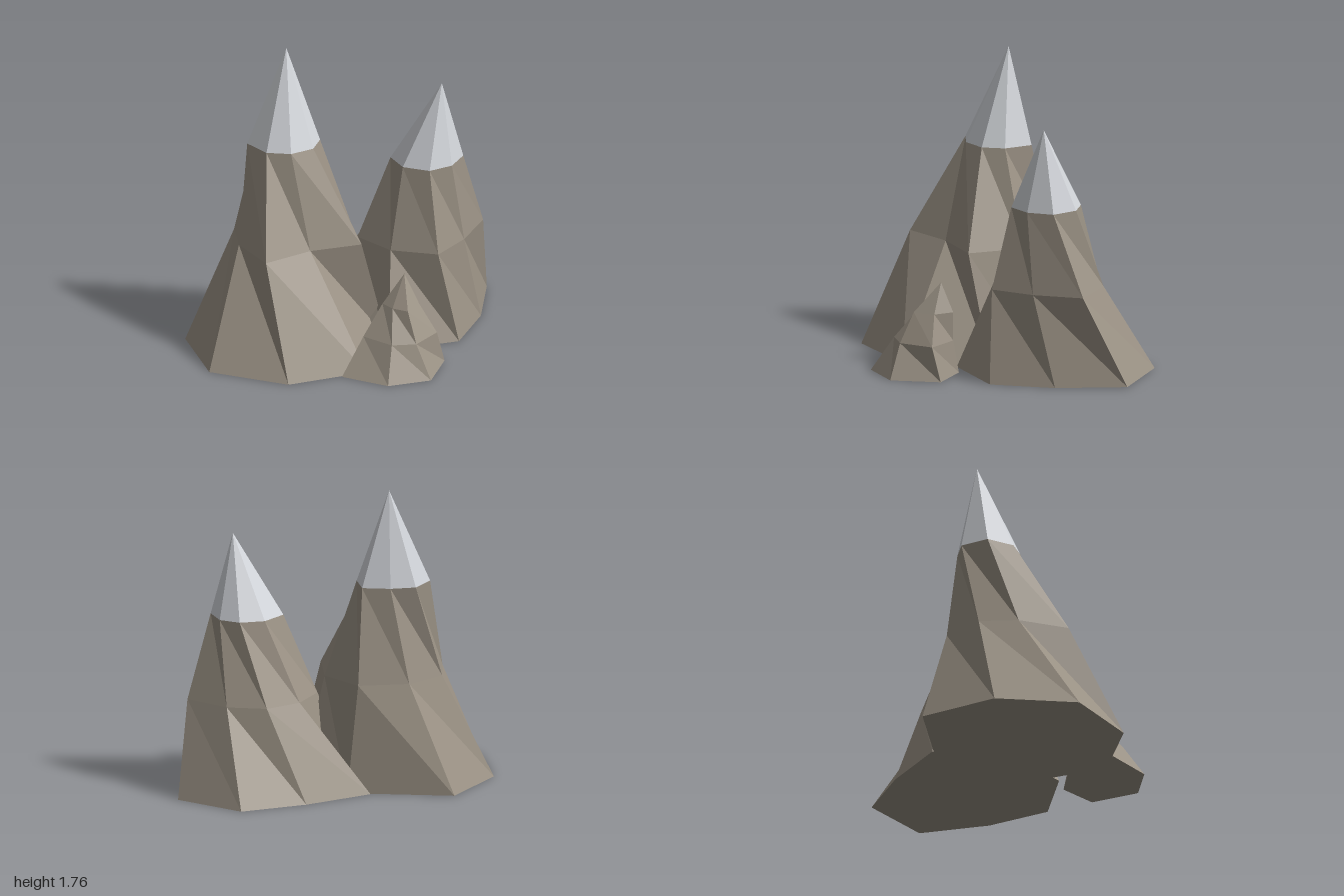
import * as THREE from 'three';

const rock = new THREE.MeshStandardMaterial({ color: 0x9b9285 });
rock.name = 'rock';
const snow = new THREE.MeshStandardMaterial({ color: 0xd2d5da });
snow.name = 'snow';

// Rings are { y, pts: [[x, z], ...] }, counterclockwise seen from above, lowest first.
function loft(name, rings, apex, material, closeBase) {
  const pos = [];
  const tri = (...corners) => corners.forEach((p) => pos.push(...p));
  const at = (ring, i) => {
    const [x, z] = ring.pts[i % ring.pts.length];
    return [x, ring.y, z];
  };
  const n = rings[0].pts.length;
  for (let i = 0; i < n; i++) {
    // Walls between neighbouring rings
    for (let r = 0; r < rings.length - 1; r++) {
      const a = at(rings[r], i), b = at(rings[r], i + 1);
      const c = at(rings[r + 1], i), d = at(rings[r + 1], i + 1);
      tri(a, b, c);
      tri(b, d, c);
    }
    // Pointed tip
    if (apex) tri(at(rings[rings.length - 1], i), at(rings[rings.length - 1], i + 1), apex);
    // Flat underside
    if (closeBase && i > 0 && i < n - 1) tri(at(rings[0], 0), at(rings[0], i + 1), at(rings[0], i));
  }
  const geometry = new THREE.BufferGeometry();
  geometry.setAttribute('position', new THREE.Float32BufferAttribute(pos, 3));
  geometry.computeVertexNormals(); // unshared corners give flat facets
  const mesh = new THREE.Mesh(geometry, material);
  mesh.name = name;
  return mesh;
}

// Rocky slopes with a snow cap sitting on the top ring
function snowyPeak(name, rings, apex) {
  const group = new THREE.Group();
  group.name = name;
  group.add(loft('slopes', rings, null, rock, true));
  group.add(loft('snowCap', [rings[rings.length - 1]], apex, snow, false));
  return group;
}

export function createModel() {
  const model = new THREE.Group();
  model.name = 'mountains';

  model.add(snowyPeak('tallPeak', [
    { y: 0, pts: [[-1, 0.06], [-0.67, 0.43], [-0.18, 0.475], [0.15, 0.08],
      [0.22, -0.22], [0.02, -0.5], [-0.55, -0.76], [-0.91, -0.43]] },
    { y: 0.64, pts: [[-0.67, -0.21], [-0.65, 0.1], [-0.34, 0.06], [-0.03, 0.11],
      [0.06, -0.21], [-0.05, -0.49], [-0.345, -0.55], [-0.59, -0.43]] },
    { y: 1.2, pts: [[-0.54, -0.36], [-0.5, -0.19], [-0.38, -0.11], [-0.23, -0.12],
      [-0.135, -0.22], [-0.11, -0.39], [-0.26, -0.46], [-0.41, -0.48]] },
  ], [-0.29, 1.765, -0.35]));

  model.add(snowyPeak('shortPeak', [
    { y: 0, pts: [[-0.15, -0.1], [0.07, 0.26], [0.5, 0.32], [0.78, 0.05],
      [1, -0.31], [0.74, -0.68], [0.33, -0.66], [-0.1, -0.565]] },
    { y: 0.54, pts: [[0.1, -0.2], [0.185, 0.06], [0.405, 0.24], [0.64, 0.11],
      [0.865, -0.09], [0.71, -0.34], [0.5, -0.45], [0.275, -0.385]] },
    { y: 1.02, pts: [[0.3, -0.17], [0.3, -0.01], [0.415, 0.11], [0.565, 0.1],
      [0.69, 0], [0.69, -0.16], [0.6, -0.255], [0.45, -0.27]] },
  ], [0.56, 1.5, -0.02]));

  // Bare foothill in front
  model.add(loft('foothill', [
    { y: 0, pts: [[-0.34, 0.47], [-0.16, 0.71], [0.1, 0.75], [0.3, 0.53], [0.18, 0.32], [-0.05, 0.28]] },
    { y: 0.2, pts: [[-0.17, 0.41], [-0.08, 0.6], [0.055, 0.65], [0.24, 0.55], [0.18, 0.36], [-0.03, 0.3]] },
    { y: 0.37, pts: [[-0.03, 0.38], [-0.01, 0.47], [0.05, 0.55], [0.16, 0.48], [0.18, 0.36], [0.04, 0.325]] },
  ], [0.105, 0.54, 0.395], rock, true));

  return model;
}
